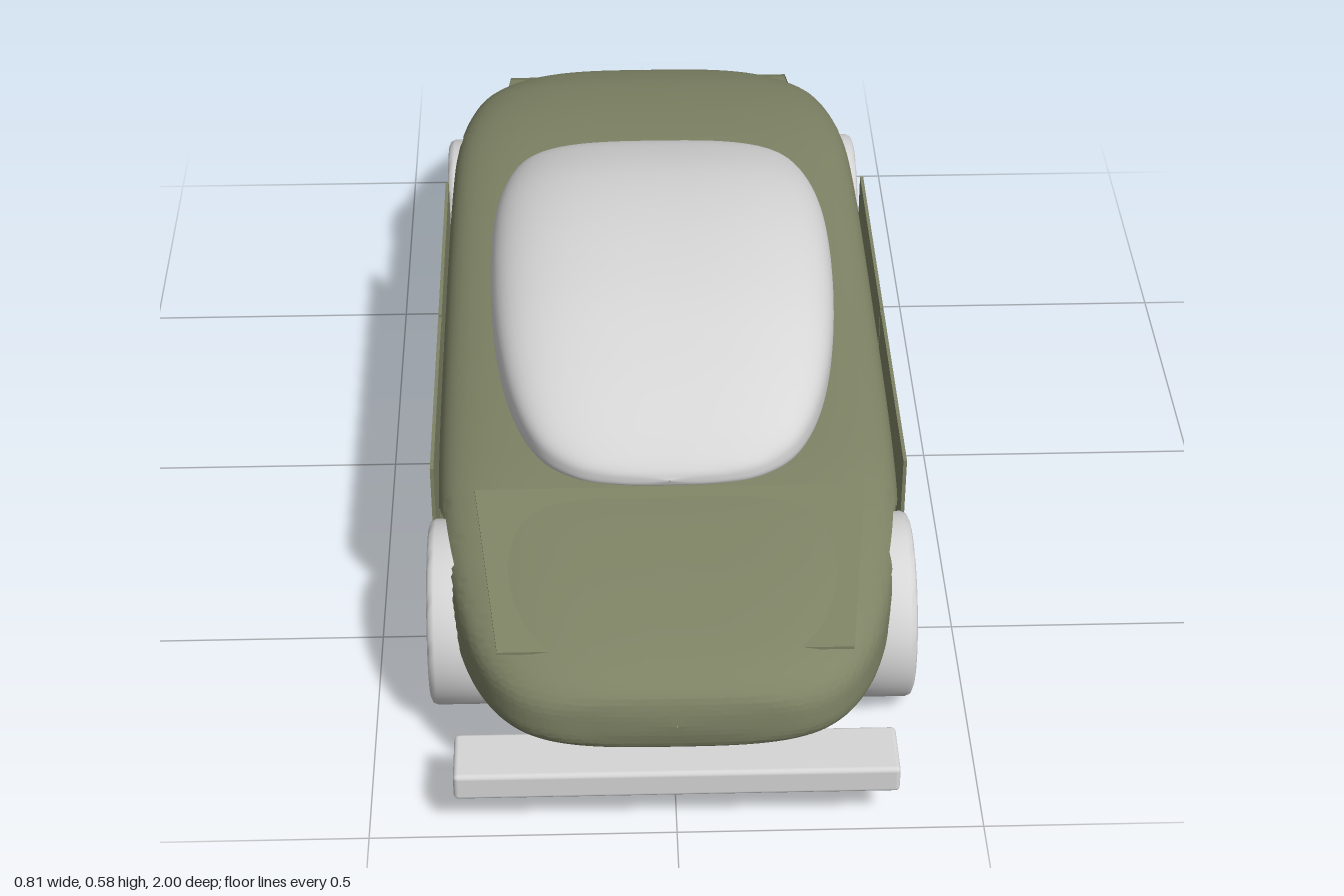
import * as THREE from 'three';
import { toCreasedNormals } from 'three/addons/utils/BufferGeometryUtils.js';
import { RoundedBoxGeometry } from 'three/addons/geometries/RoundedBoxGeometry.js';

const WHEEL_Y = 0.162, WHEEL_Z = [0.62, -0.615], WHEEL_R = 0.157;

// Smooth loft along z. Station: [z, half width, bottom, top, squareness]
function loft(stations, rows, cols, rule) {
  const spline = new THREE.CubicInterpolant(stations.map((s, i) => i), stations.flat(), 5);
  const pos = [], index = [];
  for (let i = 0; i <= rows; i++) {
    const [z, w, bottom, top, n] = spline.evaluate((i / rows) * (stations.length - 1));
    for (let j = 0; j < cols; j++) {
      const a = (j / cols) * Math.PI * 2, c = Math.cos(a), s = Math.sin(a);
      const r = Math.pow(Math.abs(c) ** n + Math.abs(s) ** n, -1 / n);
      const p = new THREE.Vector3(w * r * c, (top + bottom) / 2 + ((top - bottom) / 2) * r * s, z);
      if (rule) rule(p);
      pos.push(p.x, p.y, p.z);
      if (i < rows) {
        const k = (j + 1) % cols, q = i * cols;
        index.push(q + j, q + k, q + cols + j, q + k, q + cols + k, q + cols + j);
      }
    }
  }
  const g = new THREE.BufferGeometry();
  g.setAttribute('position', new THREE.Float32BufferAttribute(pos, 3));
  g.setIndex(index);
  g.computeVertexNormals();
  return g;
}

// Thin tapered panel between two cross edges [half width, y, z]
function panel(back, front) {
  const g = new THREE.BoxGeometry(2, 0.005, 1);
  const p = g.attributes.position;
  for (let i = 0; i < p.count; i++) {
    const t = p.getZ(i) + 0.5;
    const [w, y, z] = back.map((v, k) => THREE.MathUtils.lerp(v, front[k], t));
    p.setXYZ(i, p.getX(i) * w, p.getY(i) + y, z);
  }
  g.computeVertexNormals();
  return g;
}

export function createModel() {
  const car = new THREE.Group();
  car.name = 'car';
  const material = (name, color) => {
    const m = new THREE.MeshStandardMaterial({ color });
    m.name = name;
    return m;
  };
  const olive = material('olive paint', 0x7e8365);
  const grey = material('pale grey', 0xd6d6d6);
  const brown = material('brown hub', 0x9b774a);

  const add = (name, geometry, mat, x = 0, y = 0, z = 0) => {
    const m = new THREE.Mesh(geometry, mat);
    m.name = name;
    m.position.set(x, y, z);
    car.add(m);
    return m;
  };

  // Body shell, pressed inward around the wheels
  const wheelArch = (p) => {
    for (const z of WHEEL_Z) {
      if (Math.hypot(p.z - z, p.y - WHEEL_Y) < 0.172) {
        p.x = THREE.MathUtils.clamp(p.x, -0.28, 0.28);
      }
    }
  };
  const body = loft([
    [-1, 0.001, 0.229, 0.231, 3],
    [-0.996, 0.13, 0.2, 0.262, 3],
    [-0.985, 0.21, 0.175, 0.282, 3.2],
    [-0.95, 0.27, 0.157, 0.306, 3.4],
    [-0.88, 0.325, 0.147, 0.336, 3.6],
    [-0.78, 0.36, 0.143, 0.366, 4],
    [-0.62, 0.385, 0.14, 0.391, 4.6],
    [-0.42, 0.393, 0.138, 0.4, 5],
    [0, 0.395, 0.136, 0.397, 5],
    [0.4, 0.393, 0.138, 0.395, 5],
    [0.58, 0.385, 0.14, 0.387, 4.6],
    [0.74, 0.362, 0.143, 0.364, 4],
    [0.86, 0.328, 0.148, 0.338, 3.6],
    [0.94, 0.278, 0.157, 0.313, 3.4],
    [0.98, 0.215, 0.174, 0.286, 3.2],
    [0.991, 0.13, 0.2, 0.262, 3],
    [0.995, 0.001, 0.229, 0.231, 3],
  ], 224, 112, wheelArch);
  add('body', toCreasedNormals(body, 0.8), olive);

  // Domed cabin
  add('cabin', loft([
    [-0.46, 0.001, 0.399, 0.401, 3],
    [-0.453, 0.1, 0.385, 0.417, 3],
    [-0.432, 0.175, 0.374, 0.439, 3],
    [-0.38, 0.232, 0.36, 0.48, 3],
    [-0.28, 0.273, 0.35, 0.53, 3],
    [-0.12, 0.299, 0.345, 0.576, 3],
    [0.06, 0.305, 0.345, 0.588, 3],
    [0.25, 0.295, 0.345, 0.567, 3],
    [0.4, 0.268, 0.35, 0.523, 3],
    [0.5, 0.225, 0.36, 0.476, 3],
    [0.55, 0.168, 0.372, 0.44, 3],
    [0.571, 0.1, 0.385, 0.418, 3],
    [0.578, 0.001, 0.399, 0.401, 3],
  ], 96, 80), grey);

  // Hood and trunk lid
  add('hood', panel([0.325, 0.387, 0.58], [0.285, 0.315, 0.91]), olive);
  add('trunkLid', panel([0.32, 0.376, -0.47], [0.285, 0.306, -0.92]), olive);

  // Bumpers
  add('frontBumper', new RoundedBoxGeometry(0.72, 0.05, 0.105, 3, 0.008), grey, 0, 0.107, 0.945);
  add('rearBumper', new RoundedBoxGeometry(0.74, 0.05, 0.1, 3, 0.008), grey, 0, 0.107, -0.95);

  // Tyre ring and hub disc, turned about the axle
  const half = 0.058, b = 0.012, rim = 0.116;
  const profile = [
    [rim, -half], [WHEEL_R - b, -half], [WHEEL_R - b * 0.3, -half + b * 0.3], [WHEEL_R, -half + b],
    [WHEEL_R, half - b], [WHEEL_R - b * 0.3, half - b * 0.3], [WHEEL_R - b, half], [rim, half],
  ].map(([r, y]) => new THREE.Vector2(r, y));
  const tyre = toCreasedNormals(new THREE.LatheGeometry(profile, 48), 0.9).rotateZ(Math.PI / 2);
  const hub = new THREE.CylinderGeometry(rim, rim, half * 2 - 0.002, 48).rotateZ(Math.PI / 2);

  for (const [side, s] of [['left', 1], ['right', -1]]) {
    ['Front', 'Rear'].forEach((end, i) => {
      add(side + end + 'Tyre', tyre, grey, s * 0.348, WHEEL_Y, WHEEL_Z[i]);
      add(side + end + 'Hub', hub, brown, s * 0.348, WHEEL_Y, WHEEL_Z[i]);
    });
    // Flat door plates and sill bar
    add(side + 'FrontDoor', new THREE.BoxGeometry(0.006, 0.235, 0.448), olive, s * 0.398, 0.278, 0.304);
    add(side + 'RearDoor', new THREE.BoxGeometry(0.006, 0.235, 0.448), olive, s * 0.398, 0.278, -0.151);
    add(side + 'Sill', new RoundedBoxGeometry(0.045, 0.044, 0.98, 3, 0.008), grey, s * 0.378, 0.108, 0);
  }
  return car;
}
